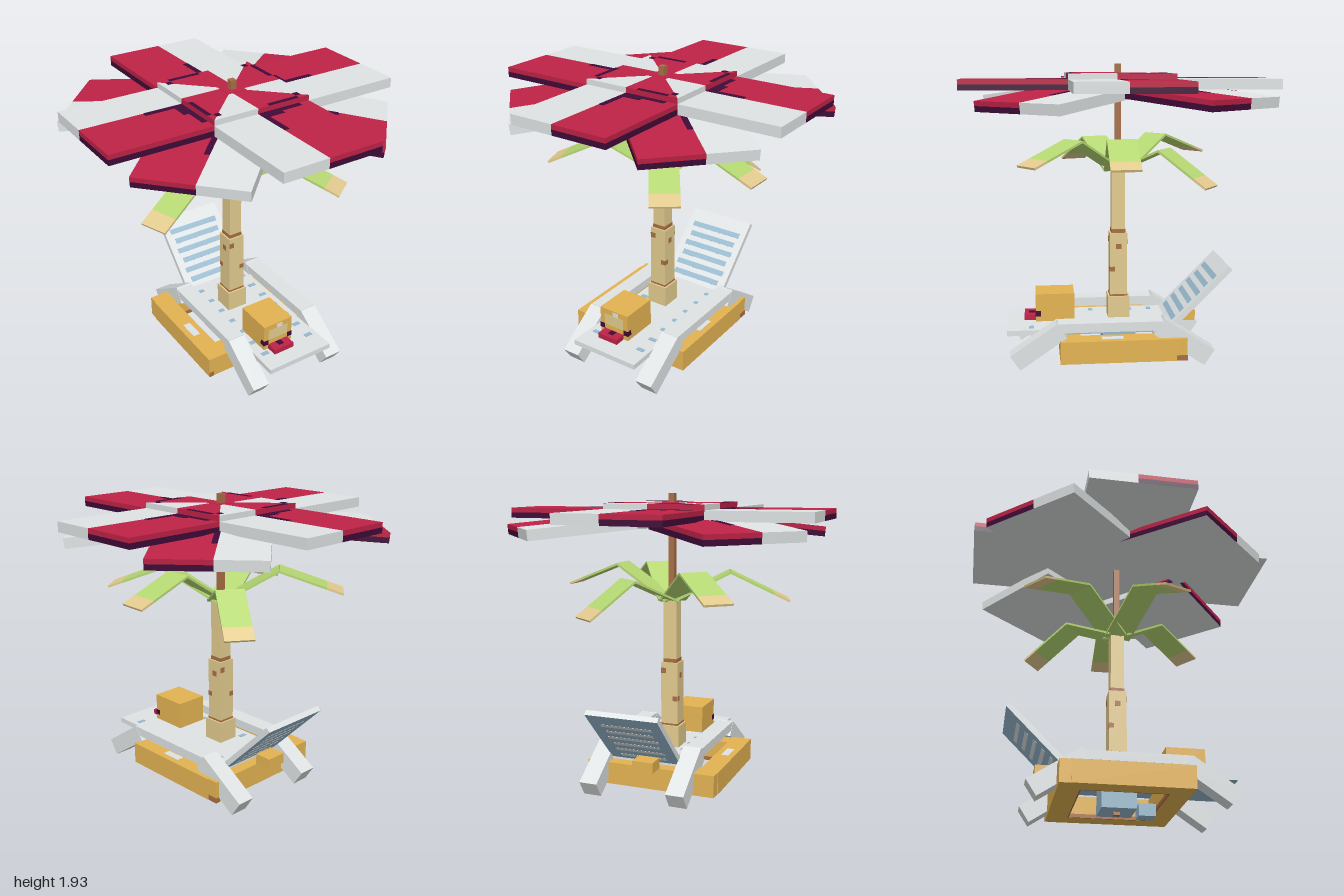
import * as THREE from 'three';

const mat = (name, hex) => {
  const m = new THREE.MeshStandardMaterial({ color: hex });
  m.name = name;
  return m;
};

export function createModel() {
  const red = mat('canopy red', 0xbe2246), plum = mat('plum', 0x3f0a38), grey = mat('pale grey', 0xdfe3e3);
  const brown = mat('brown wood', 0xa86f45), tan = mat('tan bark', 0xe2cb8e), green = mat('leaf green', 0xb6d873);
  const orange = mat('crate orange', 0xe3b352), blue = mat('blue', 0x97b9ce);
  const model = new THREE.Group();

  const group = (name, parent = model) => {
    const g = new THREE.Group();
    g.name = name;
    parent.add(g);
    return g;
  };
  // Box given by two opposite corners
  const box = (parent, name, m, x0, x1, y0, y1, z0, z1) => {
    const mesh = new THREE.Mesh(new THREE.BoxGeometry(Math.abs(x1 - x0), y1 - y0, Math.abs(z1 - z0)), m);
    mesh.position.set((x0 + x1) / 2, (y0 + y1) / 2, (z0 + z1) / 2);
    mesh.name = name;
    parent.add(mesh);
    return mesh;
  };
  // Sloped plank in the yz plane between two centre points
  const beam = (parent, name, m, x, w, t, [y0, z0], [y1, z1]) => {
    const dy = y1 - y0, dz = z1 - z0, len = Math.hypot(dy, dz);
    const g = group(name, parent);
    g.position.set(x, (y0 + y1) / 2, (z0 + z1) / 2);
    g.rotation.x = Math.atan2(-dy, dz);
    box(g, name + 'Plank', m, -w / 2, w / 2, -t / 2, t / 2, -len / 2, len / 2);
    return g;
  };

  // Canopy panel, running outward along local -z; f = 1 puts red on local -x, f = -1 on local +x
  const H = 0.335, L = 0.665, SEAM = 0.035, T = 0.065;
  const canopy = group('canopy');
  const panel = (name, dx, dz, r, y, tilt, f) => {
    const g = group(name, canopy), n = Math.hypot(dx, dz);
    g.position.set(dx / n * r, y, dz / n * r);
    g.rotation.order = 'YXZ';
    g.rotation.set(-tilt, Math.atan2(-dx, -dz), 0);
    box(g, 'redHalf', red, -H * f, SEAM * f, -0.03, 0, -L, 0);
    box(g, 'redHalfHem', [plum, plum, plum, grey, plum, plum], -H * f, SEAM * f, -T, -0.03, -L, 0);
    box(g, 'greyHalf', grey, SEAM * f, H * f, -T, 0, -L, 0);
    box(g, 'seamMark', plum, 0, SEAM * f, 0, 0.002, f > 0 ? -0.26 : -0.37, 0);
    if (f > 0) {
      box(g, 'cornerMark', plum, -0.11, 0, 0, 0.002, -0.068, 0);
      box(g, 'cornerMarkOuter', plum, -0.26, -0.11, 0, 0.002, -0.035, 0);
    }
  };
  [[0, -1], [1, 0], [0, 1], [-1, 0]].forEach(([x, z]) => panel('flatPanel', x, z, H, 1.835, 0, 1));
  for (const s of [-1, 1]) {
    panel('frontSlopedPanel', s * 0.69, 0.65, 0.29, 1.788, 0.113, -1);
    panel('backSlopedPanel', s * 0.755, -0.67, 0.35, 1.79, 0.085, -1);
  }

  // Raised centre of the canopy, a pinwheel of eight wedges
  const wedge = (name, m, pts, turn) => {
    const shape = new THREE.Shape(pts.map(([x, y]) => new THREE.Vector2(x, y)));
    const geo = new THREE.ExtrudeGeometry(shape, { depth: 0.07, bevelEnabled: false });
    geo.rotateX(-Math.PI / 2);
    const mesh = new THREE.Mesh(geo, m);
    mesh.name = name;
    mesh.position.y = 1.8;
    mesh.rotation.y = turn;
    canopy.add(mesh);
  };
  for (let i = 0; i < 4; i++) {
    const turn = i * Math.PI / 2;
    wedge('redWedge', red, [[0, 0], [SEAM, SEAM], [SEAM, H], [-H, H]], turn);
    wedge('greyWedge', grey, [[SEAM, SEAM], [H, H], [SEAM, H]], turn);
    const spot = group('wedgeMarks', canopy);
    spot.rotation.y = turn;
    box(spot, 'spot', plum, -0.297, -0.262, 1.87, 1.872, -0.297, -0.262);
    box(spot, 'edgeMark', plum, -0.26, -0.045, 1.87, 1.872, -0.335, -0.308);
  }
  box(canopy, 'centreCap', red, -0.065, 0.065, 1.87, 1.872, -0.065, 0.065);
  box(canopy, 'centreUnderside', grey, -H, H, 1.77, 1.8, -H, H);

  // Pole and stepped trunk
  const trunk = group('trunk');
  box(trunk, 'pole', brown, -0.02, 0.02, 0, 1.93, -0.02, 0.02);
  box(trunk, 'upperTrunk', tan, -0.045, 0.045, 0.82, 1.235, -0.045, 0.045);
  box(trunk, 'trunkBand', brown, -0.047, 0.047, 0.82, 0.845, -0.047, 0.047);
  box(trunk, 'middleTrunk', tan, -0.058, 0.058, 0.39, 0.82, -0.058, 0.058);
  box(trunk, 'footBand', brown, -0.06, 0.06, 0.39, 0.402, -0.06, 0.06);
  box(trunk, 'trunkFoot', tan, -0.072, 0.072, 0.2, 0.39, -0.072, 0.072);
  for (let i = 0; i < 4; i++) {
    const side = group('barkSpots', trunk);
    side.rotation.y = i * Math.PI / 2;
    const x = i % 2 ? 0 : -0.04, y = i % 2 ? 0.73 : 0.765, u = i % 2 ? -1 : 1;
    box(side, 'spot', brown, x - 0.018, x + 0.018, y - 0.018, y + 0.018, 0.058, 0.06);
    box(side, 'spot', brown, u * 0.025, u * 0.057, 0.56, 0.592, 0.058, 0.06);
  }

  // Bent palm fronds: bend radius and height, tip x, y, z
  const fronds = [
    [0.36, 1.465, 0.72, 1.32, 0.02], [0.37, 1.45, 0.43, 1.31, 0.6], [0.38, 1.425, -0.72, 1.24, 0.26],
    [0.38, 1.45, -0.52, 1.31, -0.6], [0.34, 1.385, 0.38, 1.165, -0.55],
  ];
  for (const [rb, yb, tx, ty, tz] of fronds) {
    const g = group('frond'), rt = Math.hypot(tx, tz);
    g.rotation.y = -Math.atan2(tz, tx);
    const segment = (name, m, r0, y0, r1, y1) => {
      const mesh = new THREE.Mesh(new THREE.BoxGeometry(Math.hypot(r1 - r0, y1 - y0), 0.014, 0.185), m);
      mesh.position.set((r0 + r1) / 2, (y0 + y1) / 2, 0);
      mesh.rotation.z = Math.atan2(y1 - y0, r1 - r0);
      mesh.name = name;
      g.add(mesh);
    };
    const k = 0.74, rm = rb + (rt - rb) * k, ym = yb + (ty - yb) * k;
    segment('frondBase', green, 0.01, 1.235, rb, yb);
    segment('frondDroop', green, rb, yb, rm, ym);
    segment('frondTip', tan, rm, ym, rt, ty);
  }

  // Open wooden base frame, the same again after half a turn
  const base = group('baseFrame');
  for (const s of [-1, 1]) {
    box(base, 'sideWall', orange, s * 0.31, s * 0.44, 0.06, 0.205, -0.335, 0.405);
    box(base, 'sideLining', brown, s * 0.302, s * 0.31, 0.06, 0.085, -0.27, 0.27);
    box(base, 'wallPatch', grey, s * 0.35, s * 0.4, 0.205, 0.207, 0, 0.14);
    const w = s > 0 ? 0.31 : 0.435;
    box(base, 'endWall', orange, -w, w, 0.06, 0.205, s * 0.27, s * 0.405);
    box(base, 'endLining', brown, -0.302, 0.302, 0.06, 0.085, s * 0.262, s * 0.27);
    box(base, 'endSpot', brown, s * -0.44, s * -0.405, 0.06, 0.095, s * 0.405, s * 0.407);
  }
  box(base, 'sideSpot', brown, 0.435, 0.437, 0.06, 0.095, -0.405, -0.337);

  // Blue weights under the frame
  box(base, 'weight', blue, -0.11, 0.11, 0.02, 0.2, -0.11, 0.11);
  box(base, 'smallWeight', blue, 0.04, 0.15, 0.02, 0.1, 0.15, 0.26);

  // Lounger: seat, reclined back, arms and splayed legs
  const chair = group('lounger');
  const cx = 0.055;
  box(chair, 'seatFront', [grey, grey, grey, blue, grey, grey], cx - 0.24, cx + 0.24, 0.21, 0.245, 0.4, 0.74);
  box(chair, 'seat', [blue, blue, grey, blue, grey, grey], cx - 0.24, cx + 0.24, 0.21, 0.245, -0.335, 0.4);
  for (let i = 0; i < 7; i++) {
    const z = -0.24 + i * 0.135;
    for (const s of [-1, 1]) box(chair, 'seatMark', blue, cx + s * 0.15, cx + s * 0.205, 0.245, 0.247, z, z + 0.03);
  }
  const back = beam(chair, 'backrest', [grey, grey, grey, blue, grey, grey], cx, 0.48, 0.035, [0.622, -0.708], [0.232, -0.318]);
  for (let i = 0; i < 6; i++) {
    const z = -0.158 + i * 0.076, e = i % 2 ? 0.012 : 0;
    box(back, 'backStripe', blue, -0.195 + e, 0.195 - e, 0.0175, 0.0185, z - 0.019, z + 0.019);
    box(back, 'rearStripe', grey, -0.17 + e, 0.17 - e, -0.0185, -0.0175, z - 0.015, z + 0.015);
  }
  for (const x of [cx - 0.295, cx + 0.295]) {
    box(chair, 'arm', grey, x - 0.058, x + 0.058, 0.255, 0.315, -0.27, 0.42);
    beam(chair, 'frontLeg', grey, x, 0.12, 0.113, [0.067, 0.69], [0.27, 0.393]);
    beam(chair, 'rearLeg', grey, x, 0.12, 0.12, [0.064, -0.554], [0.278, -0.228]);
  }

  // Crate on the seat with its small trim, and a block behind the lounger
  const crate = group('crate');
  box(crate, 'crateBody', orange, -0.11, 0.11, 0.245, 0.43, 0.3, 0.555);
  box(crate, 'frontPatch', tan, -0.075, 0.075, 0.315, 0.39, 0.555, 0.557);
  box(crate, 'frontPatchTop', grey, -0.01, 0.035, 0.39, 0.42, 0.555, 0.557);
  box(crate, 'redTrim', red, -0.075, 0.075, 0.245, 0.28, 0.555, 0.63);
  box(crate, 'trimMark', plum, -0.02, 0.02, 0.28, 0.282, 0.56, 0.6);
  for (const s of [-1, 1]) box(crate, 'cornerTrim', plum, s * 0.076, s * 0.113, 0.28, 0.315, 0.522, 0.558);
  box(model, 'rearBlock', orange, -0.07, 0.07, 0.21, 0.28, -0.52, -0.405);

  return model;
}
